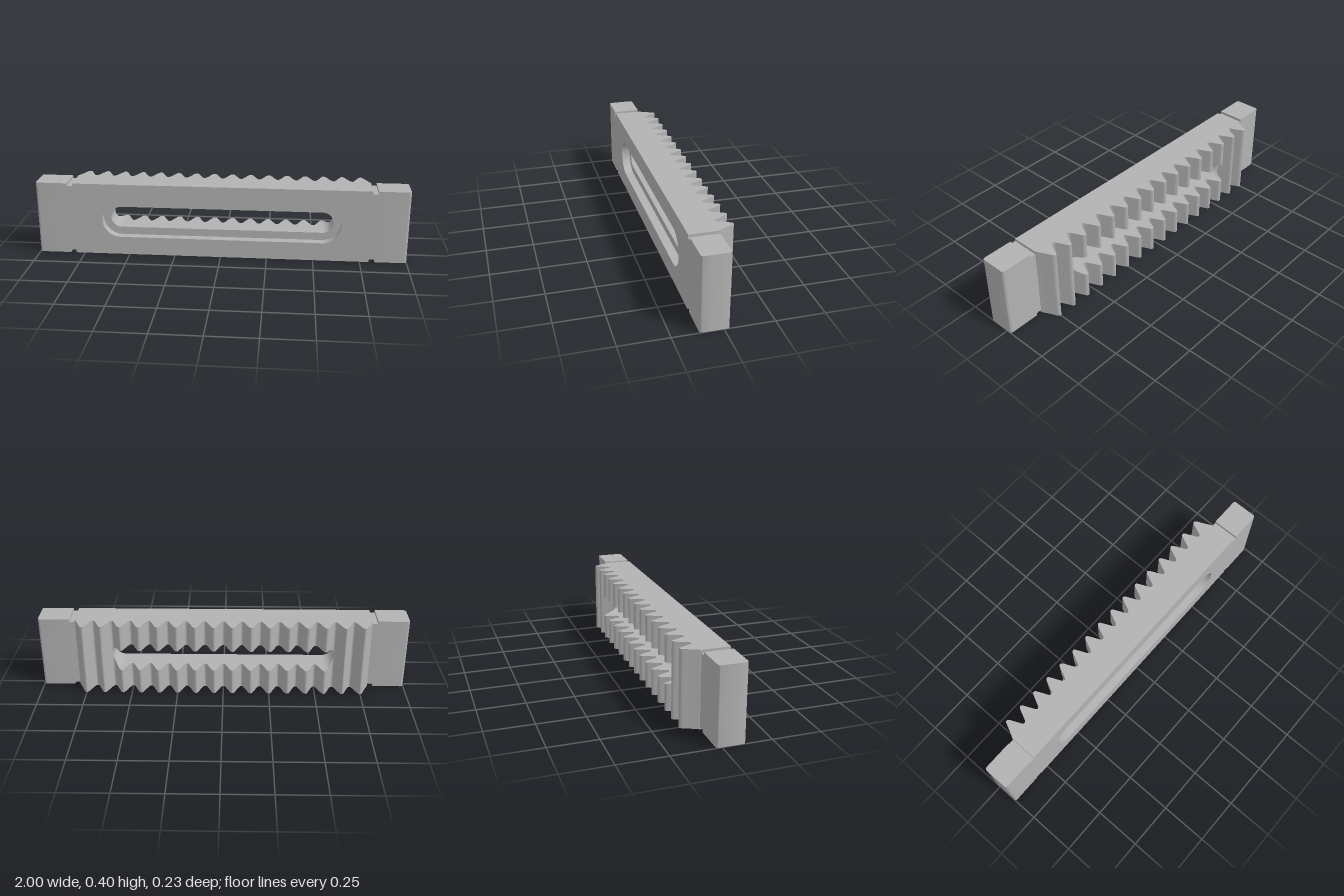
import * as THREE from 'three';
import { toCreasedNormals } from 'three/addons/utils/BufferGeometryUtils.js';

const HEIGHT = 0.4, MID = 0.2, FRONT = 0.117, BACK = -0.028, FLOOR = 0.07;
const CORNER = 0.012, EPS = 0.0001;
const SLOT = { end: 0.605, r: 0.058 }, RECESS = { end: 0.645, r: 0.1 };

// half of one rounded tooth: distance from the tip, depth
const TOOTH = [[0, -0.117], [0.005, -0.116], [0.01, -0.111], [0.014, -0.103],
  [0.037, -0.052], [0.041, -0.045], [0.045, -0.041], [0.05, -0.04]];

// half height of a round-ended slot at distance a from the centre
function slotHalf({ end, r }, a) {
  if (a >= end) return 0;
  const d = Math.max(0, a - end + r);
  return Math.sqrt(Math.max(0, r * r - d * d));
}

// inset of the rounded vertical end edges
function cornerInset(a) {
  const d = Math.max(0, a - 1 + CORNER);
  return CORNER - Math.sqrt(Math.max(0, CORNER * CORNER - d * d));
}

// rear surface: toothed in the middle, plain at the ends
function backZ(a) {
  if (a >= 0.8) return BACK + cornerInset(a);
  if (a > 0.787) return THREE.MathUtils.mapLinear(a, 0.787, 0.8, -0.052, BACK);
  const d = Math.abs((a % 0.1) - 0.05);
  for (let i = 1; i < TOOTH.length; i++) {
    const [d0, z0] = TOOTH[i - 1], [d1, z1] = TOOTH[i];
    if (d <= d1) return THREE.MathUtils.mapLinear(d, d0, d1, z0, z1);
  }
  return TOOTH[TOOTH.length - 1][1];
}

// sample positions along the bar, dense only where the outline bends
function samples() {
  const xs = [0, 0.8, 0.8 + EPS, 0.83 - EPS, 0.83, 1 - EPS, 1];
  for (let i = 0; i < 8; i++) {
    for (const [d] of TOOTH) xs.push(0.05 + i * 0.1 - d, 0.05 + i * 0.1 + d);
  }
  for (const s of [SLOT, RECESS]) {
    for (let i = 0; i <= 14; i++) xs.push(s.end - s.r + s.r * Math.sin(i / 14 * Math.PI / 2));
  }
  for (let i = 0; i < 5; i++) xs.push(1 - CORNER + CORNER * Math.sin(i / 5 * Math.PI / 2));
  const half = xs.sort((a, b) => a - b).filter((x, i) => i === 0 || x - xs[i - 1] > EPS / 4);
  return [...half.slice(1).reverse().map(x => -x), ...half];
}

// upper half cross-section: front, top, rear, slot wall, recess floor, recess wall
function section(x) {
  const a = Math.abs(x), capped = a >= 1;
  const top = a > 0.8 && a < 0.83 ? HEIGHT - 0.015 : HEIGHT;
  const front = capped ? FLOOR : FRONT - cornerInset(a);
  const back = capped ? FLOOR : backZ(a);
  const slot = MID + slotHalf(SLOT, a), recess = MID + slotHalf(RECESS, a);
  return [[recess, front], [top, front], [top, back], [slot, back], [slot, FLOOR], [recess, FLOOR]]
    .map(([y, z]) => new THREE.Vector3(x, y, z));
}

function rackGeometry() {
  const pos = [];
  const tri = (a, b, c) => {
    const area = b.clone().sub(a).cross(c.clone().sub(a)).length();
    if (area < 1e-9) return;
    for (const p of [a, b, c]) pos.push(p.x, p.y, p.z);
    // mirrored lower half
    for (const p of [a, c, b]) pos.push(p.x, HEIGHT - p.y, p.z);
  };
  const rings = samples().map(section);
  for (let i = 1; i < rings.length; i++) {
    const p = rings[i - 1], q = rings[i];
    for (let k = 0; k < 6; k++) {
      const n = (k + 1) % 6;
      // no wall where the halves simply meet
      if ([p[k], q[k], p[n], q[n]].every(v => v.y - MID < 1e-6)) continue;
      tri(p[k], q[k], q[n]);
      tri(p[k], q[n], p[n]);
    }
  }
  const geo = new THREE.BufferGeometry();
  geo.setAttribute('position', new THREE.Float32BufferAttribute(pos, 3));
  return toCreasedNormals(geo, 0.75);
}

export function createModel() {
  const steel = new THREE.MeshStandardMaterial({ color: 0xb2b2b2 });
  steel.name = 'steelGrey';
  const group = new THREE.Group();
  group.name = 'slottedRack';
  const bar = new THREE.Mesh(rackGeometry(), steel);
  bar.name = 'toothedBar';
  group.add(bar);
  return group;
}
